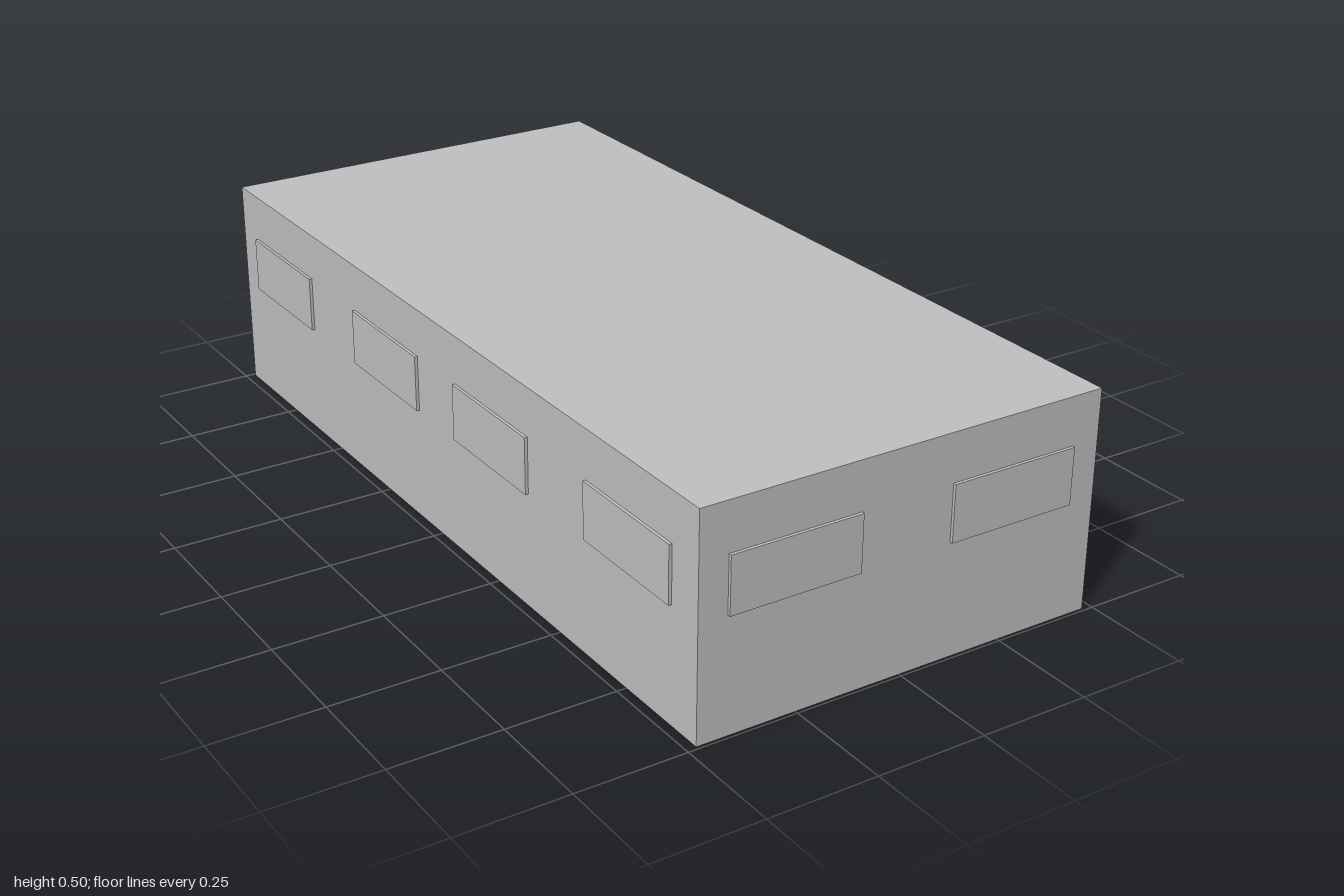
import * as THREE from 'three';

const W = 0.956, H = 0.5, L = 1.986; // shell size
const OUT = 0.007;                   // how far fittings stand out of the walls

export function createModel() {
  const group = new THREE.Group();
  group.name = 'building';
  const grey = new THREE.MeshStandardMaterial({ color: 0xc0c0c0, side: THREE.DoubleSide });
  grey.name = 'plain grey';

  function box(parent, name, w, h, d, x, y, z) {
    const mesh = new THREE.Mesh(new THREE.BoxGeometry(w, h, d), grey);
    mesh.name = name;
    mesh.position.set(x, y, z);
    parent.add(mesh);
  }

  // Thin shell, open underneath
  function sheet(name, w, h, pos, rx, ry) {
    const mesh = new THREE.Mesh(new THREE.PlaneGeometry(w, h), grey);
    mesh.name = name;
    mesh.position.set(...pos);
    mesh.rotation.set(rx, ry, 0);
    group.add(mesh);
  }
  sheet('roof', W, L, [0, H, 0], -Math.PI / 2, 0);
  sheet('frontWall', W, H, [0, H / 2, L / 2], 0, 0);
  sheet('backWall', W, H, [0, H / 2, -L / 2], 0, Math.PI);
  sheet('leftWall', L, H, [W / 2, H / 2, 0], 0, Math.PI / 2);
  sheet('rightWall', L, H, [-W / 2, H / 2, 0], 0, -Math.PI / 2);

  // Window: raised pane outside, slim frame inside; local +z points outwards
  function addWindow(x, z, turn) {
    const win = new THREE.Group();
    win.name = 'window';
    const w = 0.302, h = 0.128, t = 0.01;
    box(win, 'pane', w, h, OUT, 0, 0, OUT / 2);
    for (const s of [-1, 1]) {
      box(win, 'frameRail', w, t, OUT, 0, s * (h - t) / 2, -OUT / 2);
      box(win, 'frameStile', t, h - 2 * t, OUT, s * (w - t) / 2, 0, -OUT / 2);
    }
    win.position.set(x, 0.326, z);
    win.rotation.y = turn;
    group.add(win);
  }
  for (const s of [-1, 1]) {
    addWindow(s * 0.261, L / 2, 0);
    addWindow(s * 0.261, -L / 2, Math.PI);
    for (const z of [-0.765, -0.24, 0.23, 0.755]) addWindow(s * W / 2, z, s * Math.PI / 2);
  }

  // Three panelled shutter doors at the foot of the back wall
  for (const x of [-0.21, 0, 0.21]) {
    const door = new THREE.Group();
    door.name = 'shutterDoor';
    const w = 0.166, h = 0.096, rows = 5, cols = 6;
    box(door, 'doorPanel', w, h, 0.002, 0, h / 2, 0.001);
    for (const s of [-1, 1]) box(door, 'doorJamb', 0.005, h, OUT, s * (w / 2 - 0.0025), h / 2, OUT / 2);
    box(door, 'doorHead', w - 0.01, 0.005, OUT, 0, h - 0.0025, OUT / 2);
    const cw = (w - 0.014) / cols, rh = (h - 0.008) / rows;
    for (let r = 0; r < rows; r++) {
      for (let c = 0; c < cols; c++) {
        box(door, 'doorSlat', cw - 0.004, rh - 0.005, 0.003,
          (c - (cols - 1) / 2) * cw, (r + 0.5) * rh, 0.0035);
      }
    }
    door.position.set(x, 0, -L / 2);
    door.rotation.y = Math.PI;
    group.add(door);
  }
  // Small handle on one door
  box(group, 'doorHandle', 0.014, 0.008, 0.005, -0.157, 0.006, -L / 2 - 0.0045);

  return group;
}
